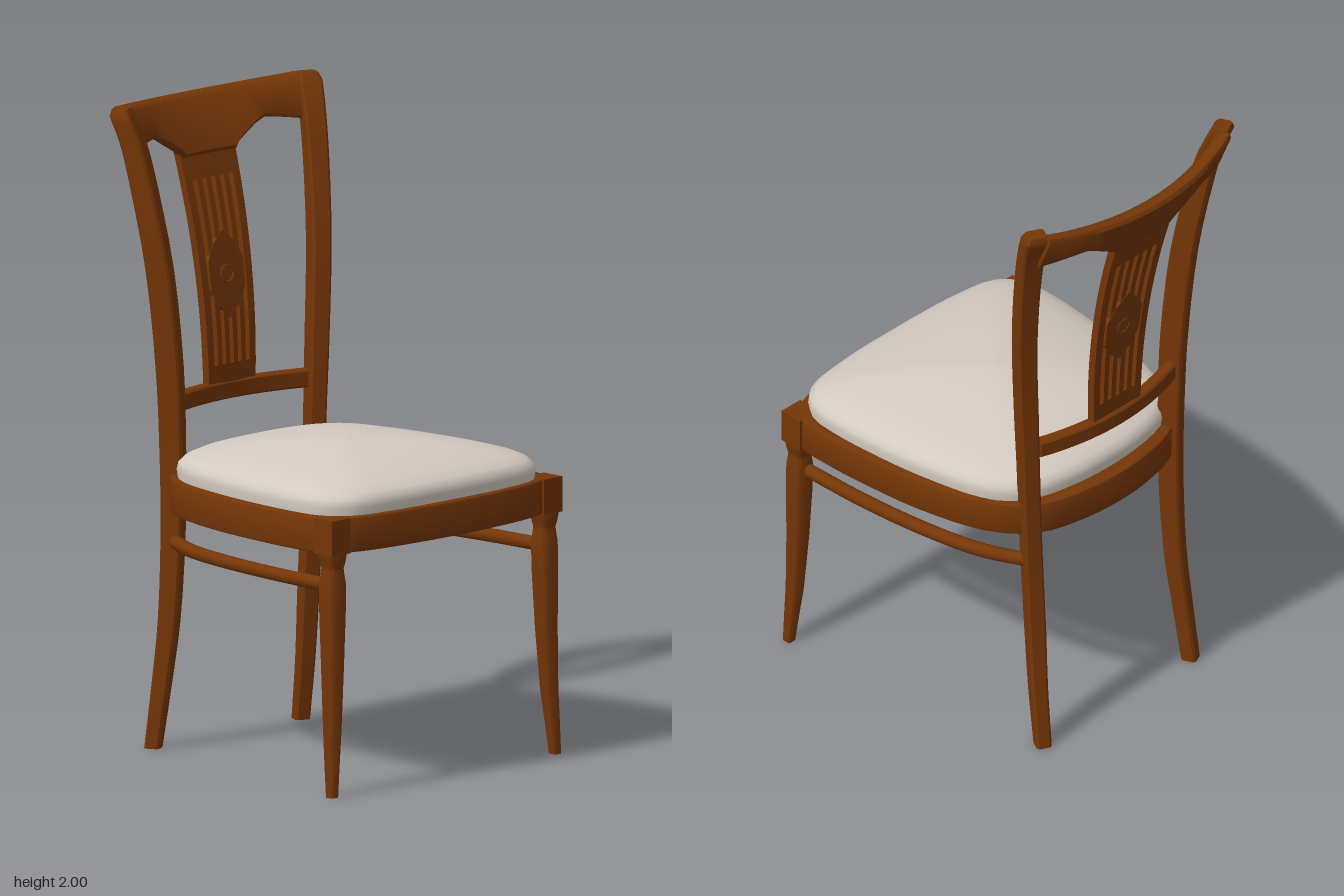
import * as THREE from 'three';
import { toCreasedNormals } from 'three/addons/utils/BufferGeometryUtils.js';

const wood = new THREE.MeshStandardMaterial({ color: 0x753607 });
wood.name = 'brown wood';
const fabric = new THREE.MeshStandardMaterial({ color: 0xd3cac0, side: THREE.DoubleSide });
fabric.name = 'pale fabric';

// Skin through rings of [x, y, z] points, with optional flat end caps
function loft(rings, caps = true) {
  const n = rings[0].length, last = (rings.length - 1) * n, index = [];
  for (let i = 0; i < rings.length - 1; i++) {
    for (let j = 0; j < n; j++) {
      const a = i * n + j, b = i * n + (j + 1) % n;
      index.push(a, a + n, b, b, a + n, b + n);
    }
  }
  if (caps) {
    for (let j = 1; j < n - 1; j++) index.push(0, j, j + 1, last, last + j + 1, last + j);
  }
  const g = new THREE.BufferGeometry();
  g.setAttribute('position', new THREE.Float32BufferAttribute(rings.flat(2), 3));
  g.setIndex(index);
  g.computeVertexNormals();
  return g;
}

// Rectangle with cut corners, half sizes w and d
function chamfered(w, d, c) {
  return [[-w + c, -d], [w - c, -d], [w, -d + c], [w, d - c],
    [w - c, d], [-w + c, d], [-w, d - c], [-w, -d + c]];
}

// Closed smooth plan outline from its +x half, as [x, z]
function outline(half, count) {
  const other = half.slice(1, -1).reverse().map(([x, z]) => [-x, z]);
  const pts = [...half, ...other].map(([x, z]) => new THREE.Vector3(x, 0, z));
  return new THREE.CatmullRomCurve3(pts, true, 'centripetal').getSpacedPoints(count)
    .slice(0, count).map(p => [p.x, p.z]);
}

function lerpTable(table, t) {
  for (let i = 1; i < table.length; i++) {
    const [a, va] = table[i - 1], [b, vb] = table[i];
    if (t <= b) return va + (vb - va) * (t - a) / (b - a);
  }
  return table[table.length - 1][1];
}

export function createModel() {
  const chair = new THREE.Group();
  chair.name = 'chair';
  const add = (name, geometry, material = wood, parent = chair) => {
    const mesh = new THREE.Mesh(geometry, material);
    mesh.name = name;
    parent.add(mesh);
    return mesh;
  };

  // Seat frame: hollow curved ring
  const frame = outline([[0, 0.59], [0.2, 0.582], [0.34, 0.566], [0.43, 0.54], [0.487, 0.49],
    [0.497, 0.35], [0.488, 0.2], [0.463, 0], [0.408, -0.2], [0.348, -0.3], [0.27, -0.362],
    [0.14, -0.398], [0, -0.41]], 80);
  const shape = new THREE.Shape(frame.map(([x, z]) => new THREE.Vector2(x, -z)));
  shape.holes.push(new THREE.Path(frame.map(([x, z]) =>
    new THREE.Vector2(x * 0.9, -((z - 0.1) * 0.9 + 0.1)))));
  const ring = new THREE.ExtrudeGeometry(shape, { depth: 0.094, bevelThickness: 0.008,
    bevelSize: 0.008, bevelOffset: -0.008, bevelSegments: 2 });
  ring.rotateX(-Math.PI / 2).translate(0, 0.763, 0);
  add('seatFrame', toCreasedNormals(ring, 0.5));

  // Domed cushion, open underneath
  const pad = outline([[0, 0.568], [0.25, 0.56], [0.4, 0.53], [0.46, 0.46], [0.472, 0.35],
    [0.465, 0.2], [0.44, 0], [0.39, -0.2], [0.34, -0.28], [0.26, -0.33], [0.12, -0.36],
    [0, -0.365]], 72).reverse();
  const dome = [[0.99, 0.855], [1, 0.89], [0.99, 0.912], [0.955, 0.928], [0.88, 0.945],
    [0.76, 0.962], [0.6, 0.979], [0.4, 0.995], [0.18, 1.006], [0.001, 1.009]];
  add('cushion', loft(dome.map(([s, y]) =>
    pad.map(([x, z]) => [x * s, y, (z - 0.12) * s + 0.12])), false), fabric);

  // Back posts: y, x, z, half width, half depth
  const post = [[0, 0.32, -0.4, 0.024, 0.024], [0.2, 0.312, -0.372, 0.026, 0.027],
    [0.4, 0.302, -0.35, 0.028, 0.03], [0.7, 0.302, -0.332, 0.028, 0.034],
    [1, 0.31, -0.328, 0.028, 0.037], [1.2, 0.32, -0.33, 0.03, 0.038],
    [1.5, 0.345, -0.347, 0.031, 0.038], [1.75, 0.372, -0.386, 0.033, 0.036],
    [1.9, 0.389, -0.42, 0.035, 0.034], [1.98, 0.403, -0.45, 0.037, 0.032],
    [2, 0.403, -0.455, 0.03, 0.024]];
  const postPath = new THREE.CatmullRomCurve3(post.map(p => new THREE.Vector3(p[1], p[0], p[2])), false, 'centripetal');

  // Front legs: y, x, z, half size, corner cut
  const leg = [[0, 0.484, 0.534, 0.016], [0.1, 0.478, 0.528, 0.02], [0.2, 0.471, 0.522, 0.024],
    [0.4, 0.464, 0.516, 0.03], [0.58, 0.461, 0.513, 0.035], [0.66, 0.46, 0.512, 0.035],
    [0.69, 0.46, 0.512, 0.031], [0.71, 0.46, 0.512, 0.029], [0.73, 0.46, 0.512, 0.034],
    [0.757, 0.46, 0.512, 0.038]];

  for (const [side, s] of [['left', 1], ['right', -1]]) {
    const turn = s * 0.46, c = Math.cos(turn), n = Math.sin(turn);
    const rings = postPath.getPoints(30).map(p => {
      const w = lerpTable(post.map(q => [q[0], q[3]]), p.y);
      const d = lerpTable(post.map(q => [q[0], q[4]]), p.y);
      return chamfered(w, d, 0.007).map(([u, v]) =>
        [s * p.x + u * c - v * n, p.y, p.z + u * n + v * c]);
    });
    add(side + 'BackPost', toCreasedNormals(loft(rings), 0.5));

    const legRings = leg.map(([y, x, z, r]) =>
      chamfered(r, r, r * 0.35).map(([u, v]) => [s * x + u, y, z + v]));
    add(side + 'FrontLeg', toCreasedNormals(loft(legRings), 0.8));
    add(side + 'CornerBlock', new THREE.BoxGeometry(0.08, 0.11, 0.08)).position.set(s * 0.46, 0.81, 0.51);

    // Bowed side stretcher
    const path = new THREE.CatmullRomCurve3([[0.455, 0.5], [0.445, 0.25], [0.415, 0], [0.37, -0.19],
      [0.305, -0.325]].map(([x, z]) => new THREE.Vector3(s * x, 0.652, z)));
    add(side + 'Stretcher', new THREE.TubeGeometry(path, 24, 0.022, 10));
  }

  // Crest rail: leans back, bows in plan, drops to meet the splat
  const lower = [[0, 1.8], [0.11, 1.8], [0.13, 1.82], [0.2, 1.862], [0.24, 1.88], [0.3, 1.873], [0.39, 1.86]];
  const halfXs = [0.05, 0.11, 0.13, 0.165, 0.2, 0.24, 0.3, 0.35, 0.39];
  const xs = [...halfXs.map(x => -x).reverse(), 0, ...halfXs];
  add('crestRail', toCreasedNormals(loft(xs.map(x => {
    const top = 1.977 + 0.13 * x * x, bottom = lerpTable(lower, Math.abs(x));
    return chamfered(0.027, (top - bottom) / 2, 0.012).map(([z, v]) => {
      const y = (top + bottom) / 2 + v;
      return [x, y, -0.566 + 0.6 * x * x + 0.42 * (1.975 - y) + z];
    });
  })), 0.9));

  // Lower back rail
  add('lowerBackRail', toCreasedNormals(loft(Array.from({ length: 17 }, (_, i) => {
    const x = -0.29 + i * 0.58 / 16;
    return chamfered(0.021, 0.028, 0.006).map(([z, y]) => [x, 1.077 + y, -0.395 + 0.6 * x * x + z]);
  })), 0.5));

  // Pierced splat: flared and bent backwards
  const splat = new THREE.Group();
  splat.name = 'splat';
  chair.add(splat);
  const bend = g => {
    const p = g.attributes.position;
    for (let i = 0; i < p.count; i++) {
      const y = p.getY(i), t = (y - 1.1) / 0.7;
      p.setX(i, p.getX(i) * (1 + 0.24 * (y - 1.45)));
      p.setZ(i, p.getZ(i) - 0.39 - 0.105 * t * t);
    }
    g.computeVertexNormals();
    return g;
  };
  const slat = (name, x, w, y0, y1) => add(name, bend(new THREE.BoxGeometry(w, y1 - y0, 0.026, 1, 12, 1)
    .translate(x, (y0 + y1) / 2, 0)), wood, splat);
  slat('splatFoot', 0, 0.22, 1.09, 1.16);
  slat('splatHead', 0, 0.22, 1.73, 1.82);
  for (const s of [-1, 1]) {
    slat('splatEdge', s * 0.096, 0.028, 1.16, 1.73);
    slat('splatBar', s * 0.018, 0.02, 1.16, 1.73);
    slat('splatBar', s * 0.054, 0.02, 1.16, 1.73);
  }
  const plate = new THREE.Shape([[0, 1.3], [0.045, 1.34], [0.074, 1.39], [0.074, 1.48], [0.045, 1.53],
    [0, 1.57], [-0.045, 1.53], [-0.074, 1.48], [-0.074, 1.39], [-0.045, 1.34]].map(p => new THREE.Vector2(...p)));
  add('medallion', bend(new THREE.ExtrudeGeometry(plate, { depth: 0.03, bevelEnabled: false })
    .translate(0, 0, -0.015)), wood, splat);
  for (const z of [-0.015, 0.015]) {
    add('rosette', bend(new THREE.TorusGeometry(0.026, 0.004, 6, 16).translate(0, 1.435, z)), wood, splat);
  }

  return chair;
}
